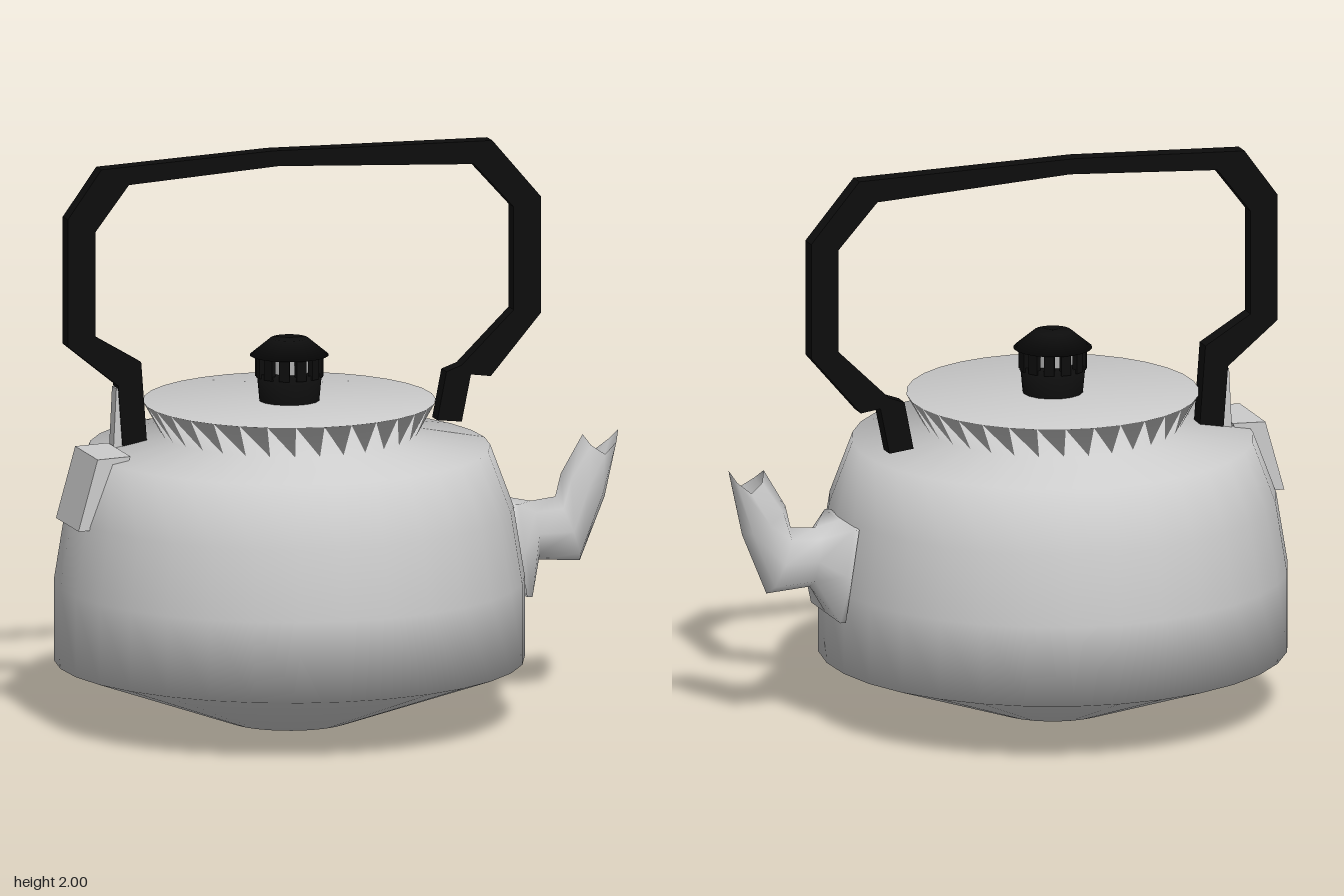
import * as THREE from 'three';

const grey = new THREE.MeshStandardMaterial({ color: 0xcccccc, side: THREE.DoubleSide });
const black = new THREE.MeshStandardMaterial({ color: 0x0d0d0d, side: THREE.DoubleSide });
const CX = -0.14;      // body axis
const TURN = 0.456;    // spout and handle are turned about y

const vec = (points) => points.map(([x, y]) => new THREE.Vector2(x, y));

function addMesh(parent, name, geometry, material) {
  const mesh = new THREE.Mesh(geometry, material);
  mesh.name = name;
  parent.add(mesh);
  return mesh;
}

function turnedGroup(parent, name, x, z) {
  const group = new THREE.Group();
  group.name = name;
  group.position.set(x, 0, z);
  group.rotation.y = TURN;
  parent.add(group);
  return group;
}

// flat outline given thickness, centred on its own plane
function slab(points, depth) {
  const geometry = new THREE.ExtrudeGeometry(new THREE.Shape(vec(points)), { depth, bevelEnabled: false });
  return geometry.translate(0, 0, -depth / 2);
}

// skin through rings; each ring spans from inner point a to outer point b
function loft(rings, sides = 8) {
  const position = [], index = [];
  rings.forEach(({ a, b, w, square, peak = 0 }, r) => {
    for (let i = 0; i < sides; i++) {
      const t = (i / sides) * Math.PI * 2;
      let c = Math.cos(t), s = Math.sin(t);
      if (square) {
        const k = 1 / Math.max(Math.abs(c), Math.abs(s));
        c *= k;
        s *= k;
      }
      position.push(
        (a[0] + b[0]) / 2 + c * (a[0] - b[0]) / 2,
        (a[1] + b[1]) / 2 + c * (a[1] - b[1]) / 2 + peak * (c * c - 0.5),
        s * w
      );
      if (r > 0) {
        const j = (i + 1) % sides, lo = (r - 1) * sides, hi = r * sides;
        index.push(lo + i, hi + i, lo + j, lo + j, hi + i, hi + j);
      }
    }
  });
  const geometry = new THREE.BufferGeometry();
  geometry.setAttribute('position', new THREE.Float32BufferAttribute(position, 3));
  geometry.setIndex(index);
  geometry.computeVertexNormals();
  return geometry;
}

export function createModel() {
  const model = new THREE.Group();
  model.name = 'kettle';

  // body with shoulder, flared collar and flat lid
  const profile = [[0.001, 0], [0.22, 0], [0.82, 0.215], [0.82, 0.5], [0.78, 0.75],
    [0.7, 0.965], [0.445, 1.013], [0.51, 1.13], [0.001, 1.13]];
  addMesh(model, 'body', new THREE.LatheGeometry(vec(profile), 32), grey).position.x = CX;

  // lid knob: stem, ribs around a pale core, cap
  const knob = new THREE.Group();
  knob.name = 'knob';
  knob.position.x = CX;
  model.add(knob);
  addMesh(knob, 'knobStem', new THREE.LatheGeometry(
    vec([[0.105, 1.125], [0.115, 1.23], [0.001, 1.23]]), 16), black);
  addMesh(knob, 'knobCore', new THREE.CylinderGeometry(0.09, 0.07, 0.07, 12).translate(0, 1.26, 0), grey);
  for (let i = 0; i < 12; i++) {
    const rib = addMesh(knob, 'knobRib', new THREE.BoxGeometry(0.02, 0.08, 0.036), black);
    const a = (i / 12) * Math.PI * 2;
    rib.position.set(Math.cos(a) * 0.108, 1.255, Math.sin(a) * 0.108);
    rib.rotation.y = -a;
  }
  addMesh(knob, 'knobCap', new THREE.LatheGeometry(
    vec([[0.001, 1.285], [0.138, 1.29], [0.065, 1.35], [0.001, 1.35]]), 20), black);

  // carrying handle: one closed outline, outer edge then inner edge
  const handle = turnedGroup(model, 'handleGroup', -0.115, -0.13);
  const stretch = 1 / Math.cos(TURN);
  const along = ([x, y]) => [(x + 0.115) * stretch, y];
  const outer = [[-0.71, 0.98], [-0.725, 1.2], [-0.89, 1.35], [-0.89, 1.8], [-0.78, 1.97],
    [-0.22, 2], [0.5, 1.99], [0.66, 1.78], [0.66, 1.37], [0.495, 1.155], [0.43, 1.165], [0.4, 1]];
  const inner = [[0.32, 1.01], [0.35, 1.18], [0.4, 1.2], [0.57, 1.385], [0.57, 1.75], [0.44, 1.91],
    [-0.2, 1.945], [-0.69, 1.91], [-0.8, 1.75], [-0.8, 1.38], [-0.65, 1.28], [-0.63, 0.98]];
  addMesh(handle, 'handle', slab([...outer, ...inner].map(along), 0.06), black);
  addMesh(handle, 'handleFootPlate', slab(
    [[-0.73, 1.19], [-0.715, 1.19], [-0.69, 0.96], [-0.74, 0.96]].map(along), 0.05), grey);

  // rear bracket and spout, both radial to the body
  const fittings = turnedGroup(model, 'fittings', CX, 0);
  addMesh(fittings, 'rearBracket', slab(
    [[-0.81, 0.735], [-0.74, 0.985], [-0.62, 0.99], [-0.72, 0.735]], 0.26), grey);
  addMesh(fittings, 'spout', loft([
    { a: [0.77, 0.74], b: [0.82, 0.41], w: 0.15, square: true },
    { a: [0.79, 0.74], b: [0.84, 0.41], w: 0.15, square: true },
    { a: [0.88, 0.72], b: [0.9, 0.51], w: 0.075 },
    { a: [0.97, 0.73], b: [1.06, 0.5], w: 0.075 },
    { a: [0.99, 0.81], b: [1.15, 0.72], w: 0.07 },
    { a: [1.07, 0.91], b: [1.2, 0.92], w: 0.055, peak: 0.07 }
  ]), grey);

  return model;
}
